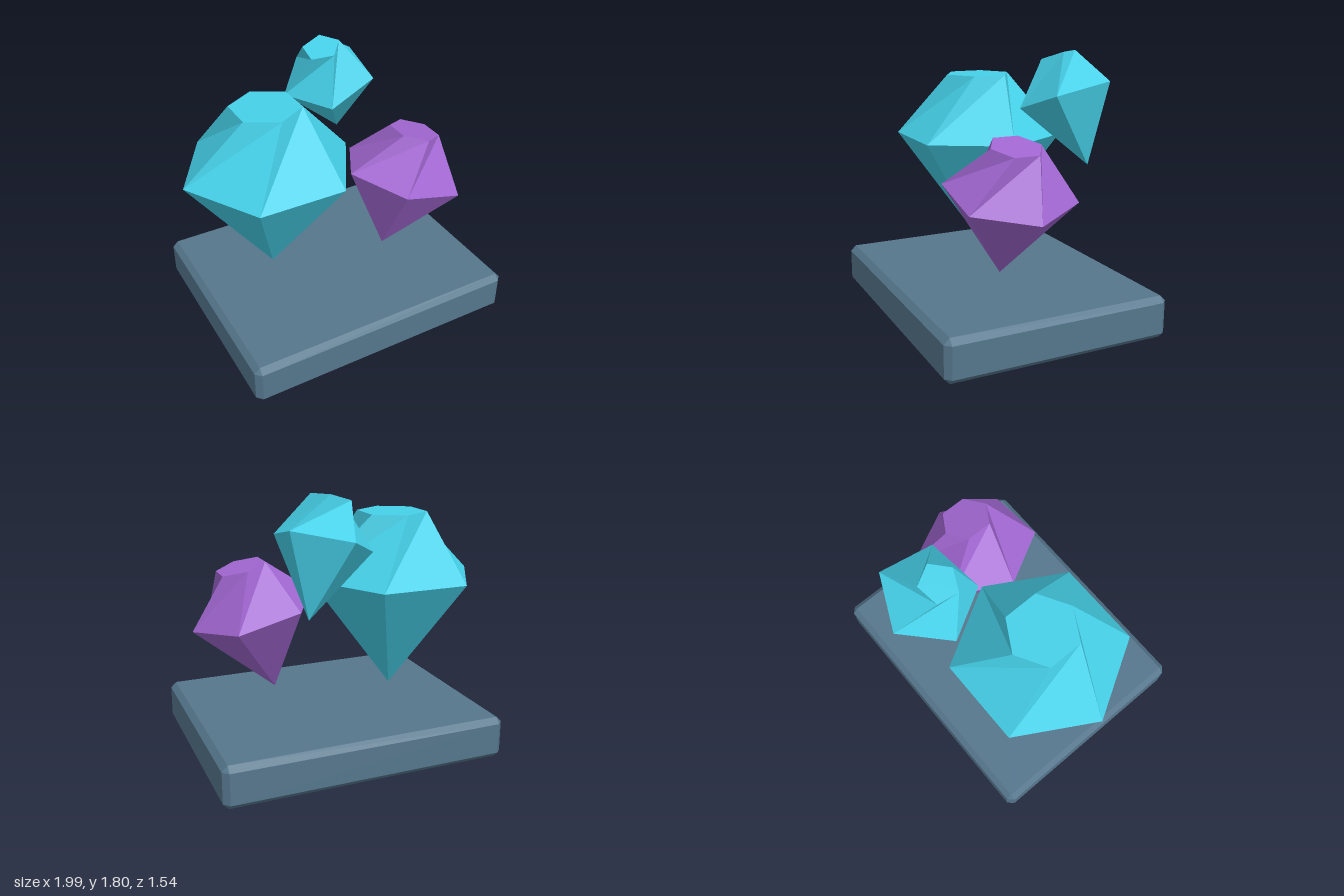
import * as THREE from 'three';
import { ConvexGeometry } from 'three/addons/geometries/ConvexGeometry.js';

const material = (color) => new THREE.MeshStandardMaterial({ color, flatShading: true });

// Cut gem: pointed pavilion, wide girdle at y = 0, small table turned half a step, twisted crown.
function gemGeometry(sides, radius, depth, crown) {
  const step = (Math.PI * 2) / sides;
  const ring = (r, y, k) => [r * Math.cos(-k * step), y, r * Math.sin(-k * step)];
  const girdle = (k) => ring(radius, 0, k);
  const table = (k) => ring(radius * 0.4, crown, k + 0.5);
  const apex = [0, -depth, 0];
  const top = [0, crown, 0];
  const points = [];
  for (let k = 0; k < sides; k++) {
    points.push(...girdle(k), ...apex, ...girdle(k + 1)); // pavilion facet
    points.push(...girdle(k), ...girdle(k + 1), ...table(k + 1)); // broad crown facet
    points.push(...girdle(k), ...table(k + 1), ...table(k)); // narrow crown facet
    points.push(...top, ...table(k), ...table(k + 1)); // flat table
  }
  const geometry = new THREE.BufferGeometry();
  geometry.setAttribute('position', new THREE.Float32BufferAttribute(points, 3));
  geometry.computeVertexNormals();
  return geometry;
}

// Box with every edge cut at 45 degrees
function chamferedBox(w, h, d, c) {
  const points = [];
  for (const sx of [-1, 1]) for (const sy of [-1, 1]) for (const sz of [-1, 1]) {
    const x = w / 2, y = h / 2, z = d / 2;
    points.push(
      new THREE.Vector3(sx * x, sy * (y - c), sz * (z - c)),
      new THREE.Vector3(sx * (x - c), sy * y, sz * (z - c)),
      new THREE.Vector3(sx * (x - c), sy * (y - c), sz * z)
    );
  }
  return new ConvexGeometry(points);
}

export function createModel() {
  const model = new THREE.Group();
  model.name = 'floatingGems';

  // Slab
  const base = new THREE.Mesh(chamferedBox(1.93, 0.285, 1.54, 0.038), material(0x55768c));
  base.name = 'base';
  base.position.set(0.03, 0.1425, 0);
  model.add(base);

  // Gems: axis is the direction the table faces, spin turns the gem about it
  const up = new THREE.Vector3(0, 1, 0);
  const gems = [
    { name: 'largeGem', color: 0x45d0e8, sides: 6, radius: 0.59, depth: 0.795, crown: 0.435,
      at: [-0.41, 1.175, -0.08], axis: [0, 1, 0], spin: 0 },
    { name: 'purpleGem', color: 0xa066d0, sides: 6, radius: 0.433, depth: 0.585, crown: 0.319,
      at: [0.52, 0.957, 0.13], axis: [0.247, 0.969, 0], spin: 0 },
    { name: 'smallGem', color: 0x45d0e8, sides: 5, radius: 0.33, depth: 0.49, crown: 0.27,
      at: [0.235, 1.51, -0.443], axis: [-0.268, 0.946, 0.184], spin: 0.525 },
  ];
  for (const g of gems) {
    const gem = new THREE.Mesh(gemGeometry(g.sides, g.radius, g.depth, g.crown), material(g.color));
    gem.name = g.name;
    gem.position.set(...g.at);
    gem.quaternion.setFromUnitVectors(up, new THREE.Vector3(...g.axis).normalize());
    gem.rotateY(g.spin);
    model.add(gem);
  }
  return model;
}
